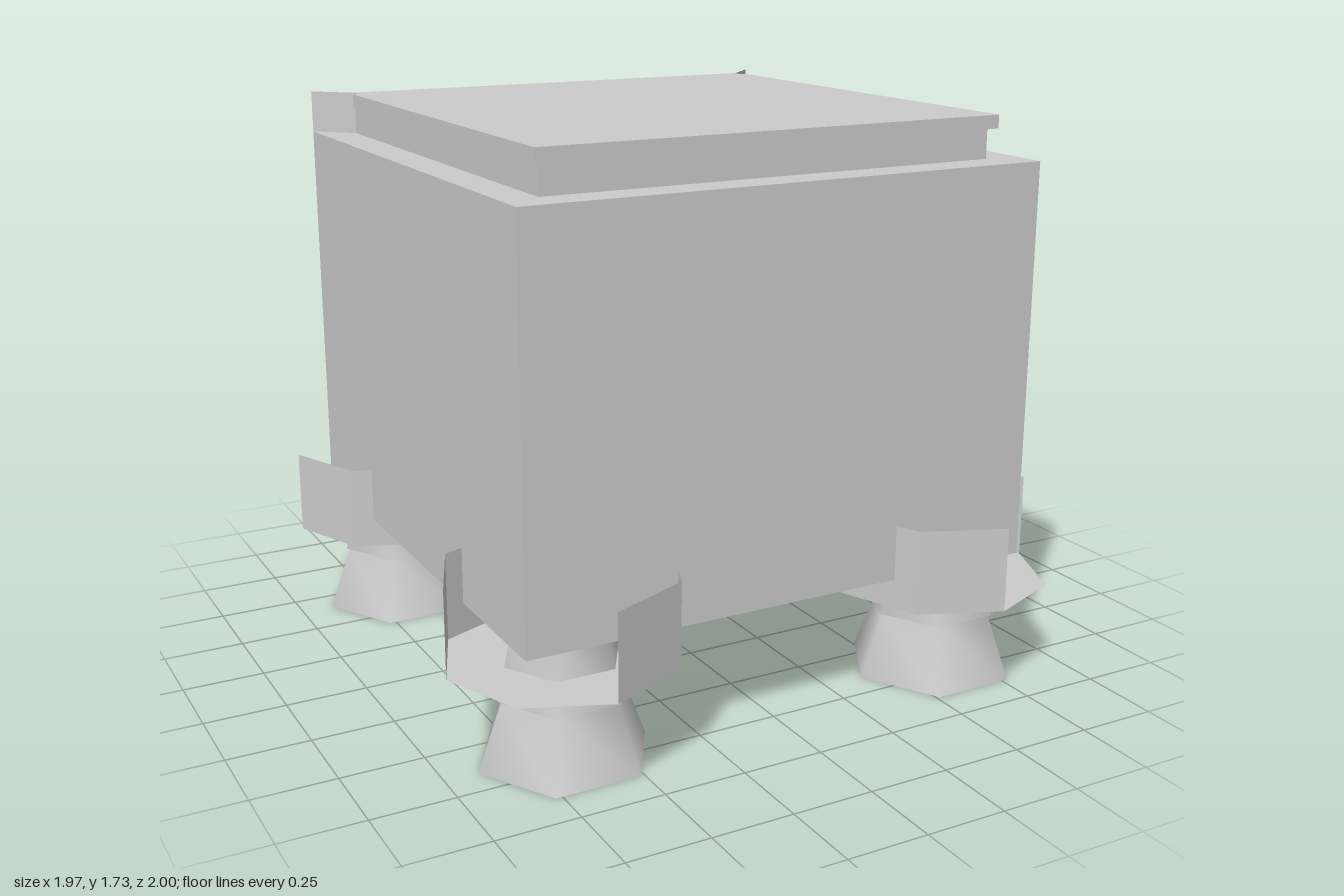
import * as THREE from 'three';
import { toCreasedNormals } from 'three/addons/utils/BufferGeometryUtils.js';

const grey = new THREE.MeshStandardMaterial({ color: 0xcccccc });
const greyThin = new THREE.MeshStandardMaterial({ color: 0xcccccc, side: THREE.DoubleSide });

export function createModel() {
  const model = new THREE.Group();

  function add(name, geometry, material = grey, parent = model) {
    const mesh = new THREE.Mesh(geometry, material);
    mesh.name = name;
    parent.add(mesh);
    return mesh;
  }

  // Box given by its lower and upper limits
  function box(name, x0, x1, y0, y1, z0, z1) {
    const g = new THREE.BoxGeometry(x1 - x0, y1 - y0, z1 - z0);
    g.translate((x0 + x1) / 2, (y0 + y1) / 2, (z0 + z1) / 2);
    return add(name, g);
  }

  // Footprint of [x, z] points raised from y0 to y1
  const toPoints = (list) => list.map(([x, z]) => new THREE.Vector2(x, -z));
  function slab(name, outline, y0, y1, hole) {
    const shape = new THREE.Shape(toPoints(outline));
    if (hole) shape.holes.push(new THREE.Path(toPoints(hole)));
    const g = new THREE.ExtrudeGeometry(shape, { depth: y1 - y0, bevelEnabled: false });
    g.rotateX(-Math.PI / 2).translate(0, y0, 0);
    return add(name, g);
  }
  const square = (h) => [[-h, -h], [-h, h], [h, h], [h, -h]];
  const octagon = (r) => Array.from({ length: 8 }, (_, i) =>
    [r * Math.cos(i * Math.PI / 4), r * Math.sin(i * Math.PI / 4)]);

  // Faceted turned part with sharp profile edges
  function turned(profile, sides, turn) {
    const points = profile.map(([r, y]) => new THREE.Vector2(r, y));
    return toCreasedNormals(new THREE.LatheGeometry(points, sides).rotateY(turn), 1.1);
  }

  const W = 0.825; // outer half width
  const I = 0.715; // inner half width

  // Floor frame, recessed plate and ribbed well
  slab('floorFrame', square(W), 0.39, 0.69, square(0.48));
  slab('recessedPlate', square(0.48), 0.54, 0.62, octagon(0.43));
  add('ribbedWell', turned([
    [0.43, 0.62], [0.43, 0.59], [0.39, 0.575], [0.39, 0.555], [0.42, 0.54], [0.42, 0.52],
    [0.38, 0.505], [0.38, 0.485], [0.41, 0.47], [0.41, 0.45], [0.37, 0.435],
  ], 8, 0), greyThin);

  // Walls on three sides, with slanted jambs beside the open back
  slab('walls', [[-W, -W], [-W, W], [W, W], [W, -W], [I, -I], [I, I], [-I, I], [-I, -I]], 0.69, 1.6);
  const t = I - 0.01;
  slab('lidNeck', [[-I, -I], [-I, I], [I, I], [I, -I], [t, -I], [t, t], [-t, t], [-t, -I]], 1.6, 1.69);

  // Lid with an overhanging lip
  box('lid', -I, I, 1.69, 1.73, -0.72, -0.67);
  box('lidLip', -0.735, 0.735, 1.69, 1.73, -0.67, 0.74);

  // Inner rails and front skirting
  for (const s of [-1, 1]) {
    for (const y of [0.715, 1.04, 1.37]) {
      const inner = s * (I - 0.035), outer = s * I;
      box('rail', Math.min(inner, outer), Math.max(inner, outer), y - 0.022, y + 0.022, -0.69, I);
    }
    // Upright corner fin above the jamb
    const length = (W - I) * Math.SQRT2;
    const fin = add('cornerFin', new THREE.PlaneGeometry(length, 0.13), greyThin);
    fin.position.set(s * (W + I) / 2, 1.665, -(W + I) / 2);
    fin.rotation.y = s * Math.PI / 4;
  }
  box('frontSkirting', -I, I, 0.69, 0.74, I - 0.035, I);

  // Foot pods: octagonal trays, open at the outer corner, each over a six-sided nozzle
  const R = 0.345;
  const tray = new THREE.CircleGeometry(R, 8).rotateX(Math.PI / 2);
  const trayWall = new THREE.CylinderGeometry(R, R, 0.26, 6, 1, true, Math.PI / 2, Math.PI * 1.5).toNonIndexed();
  trayWall.computeVertexNormals();
  const nozzle = turned([
    [0, 0.2], [0.1, 0.2], [0.11, 0.12], [0.16, 0.11], [0.22, 0], [0.26, 0], [0.185, 0.2],
    [0.197, 0.2], [0.155, 0.4], [0, 0.4],
  ], 6, Math.PI / 6);

  for (const [sx, sz, turn] of [[1, 1, 0], [1, -1, 1], [-1, -1, 2], [-1, 1, 3]]) {
    const foot = new THREE.Group();
    foot.name = 'foot';
    foot.position.set(sx * 0.64, 0, sz * 0.655);
    add('tray', tray, greyThin, foot).position.y = 0.3;
    const wall = add('trayWall', trayWall, greyThin, foot);
    wall.position.y = 0.43;
    wall.rotation.y = turn * Math.PI / 2;
    add('nozzle', nozzle, greyThin, foot);
    model.add(foot);
  }

  return model;
}
